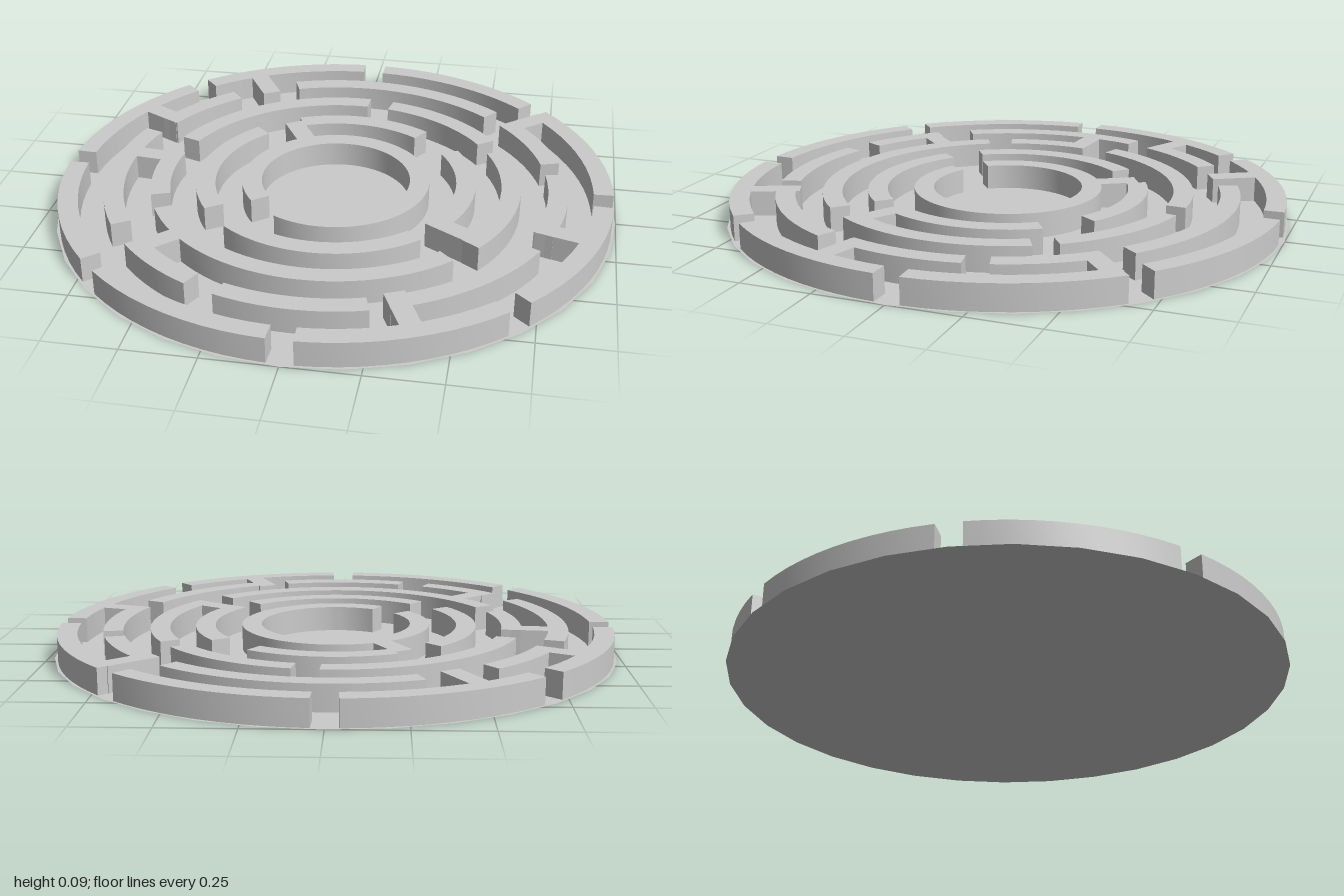
import * as THREE from 'three';
import { toCreasedNormals } from 'three/addons/utils/BufferGeometryUtils.js';

const HEIGHT = 0.09, HALF = 0.035;
const RINGS = [0.302, 0.468, 0.629, 0.794, 0.953]; // wall centre radii, inner to outer
const rad = THREE.MathUtils.degToRad;

// Curved walls per ring as [start, end] degrees, counter-clockwise seen from above, 0 at +x
const ARCS = [
  [[-119.5, 218]],
  [[-34.5, 34.5], [56, 116], [136.4, 214.7], [-129.5, -46]],
  [[-35, 28], [35.6, 79.5], [87.5, 161], [171.3, 200], [208.3, 315]],
  [[-19, 11.5], [17.5, 43], [49.7, 111.3], [130, 154.5], [161.5, 212.5],
    [222, 244.3], [252, 287], [-68.5, -26]],
  Array.from({ length: 8 }, (_, i) => [i * 45 + 2.5, i * 45 + 42.5]), // eight gates
];

// Straight radial walls as [angle, inner radius, outer radius]
const SPURS = [
  [120, 0.3, 0.475],
  [-31.5, 0.435, 0.645],
  [174.5, 0.6, 0.79], [-135, 0.63, 0.82],
  [40.6, 0.77, 0.95], [120, 0.757, 0.95], [152, 0.765, 0.95],
  [-66, 0.745, 0.95], [-16.5, 0.765, 0.95],
];

export function createModel() {
  const group = new THREE.Group();
  const material = new THREE.MeshStandardMaterial({ color: 0xcccccc });

  // Thin round floor
  const floor = new THREE.Mesh(
    new THREE.CircleGeometry(1, 32).rotateX(-Math.PI / 2),
    new THREE.MeshStandardMaterial({ color: 0xcccccc, side: THREE.DoubleSide }),
  );
  floor.name = 'floor';
  group.add(floor);

  // Concentric curved walls
  ARCS.forEach((arcs, i) => {
    const ring = new THREE.Group();
    ring.name = `ringWalls${i + 1}`;
    for (const [start, end] of arcs) {
      const a = rad(start), b = rad(end);
      const shape = new THREE.Shape();
      shape.absarc(0, 0, RINGS[i] + HALF, a, b, false);
      shape.absarc(0, 0, RINGS[i] - HALF, b, a, true);
      const geometry = new THREE.ExtrudeGeometry(shape, {
        depth: HEIGHT, bevelEnabled: false,
        curveSegments: Math.max(4, Math.ceil((end - start) / 8)),
      }).rotateX(-Math.PI / 2);
      const wall = new THREE.Mesh(toCreasedNormals(geometry, rad(30)), material);
      wall.name = 'curvedWall';
      ring.add(wall);
    }
    group.add(ring);
  });

  // Radial walls linking the rings
  for (const [angle, inner, outer] of SPURS) {
    const geometry = new THREE.BoxGeometry(outer - inner, HEIGHT, HALF * 2);
    geometry.translate((inner + outer) / 2, HEIGHT / 2, 0);
    const wall = new THREE.Mesh(geometry, material);
    wall.rotation.y = rad(angle);
    wall.name = 'radialWall';
    group.add(wall);
  }
  return group;
}
